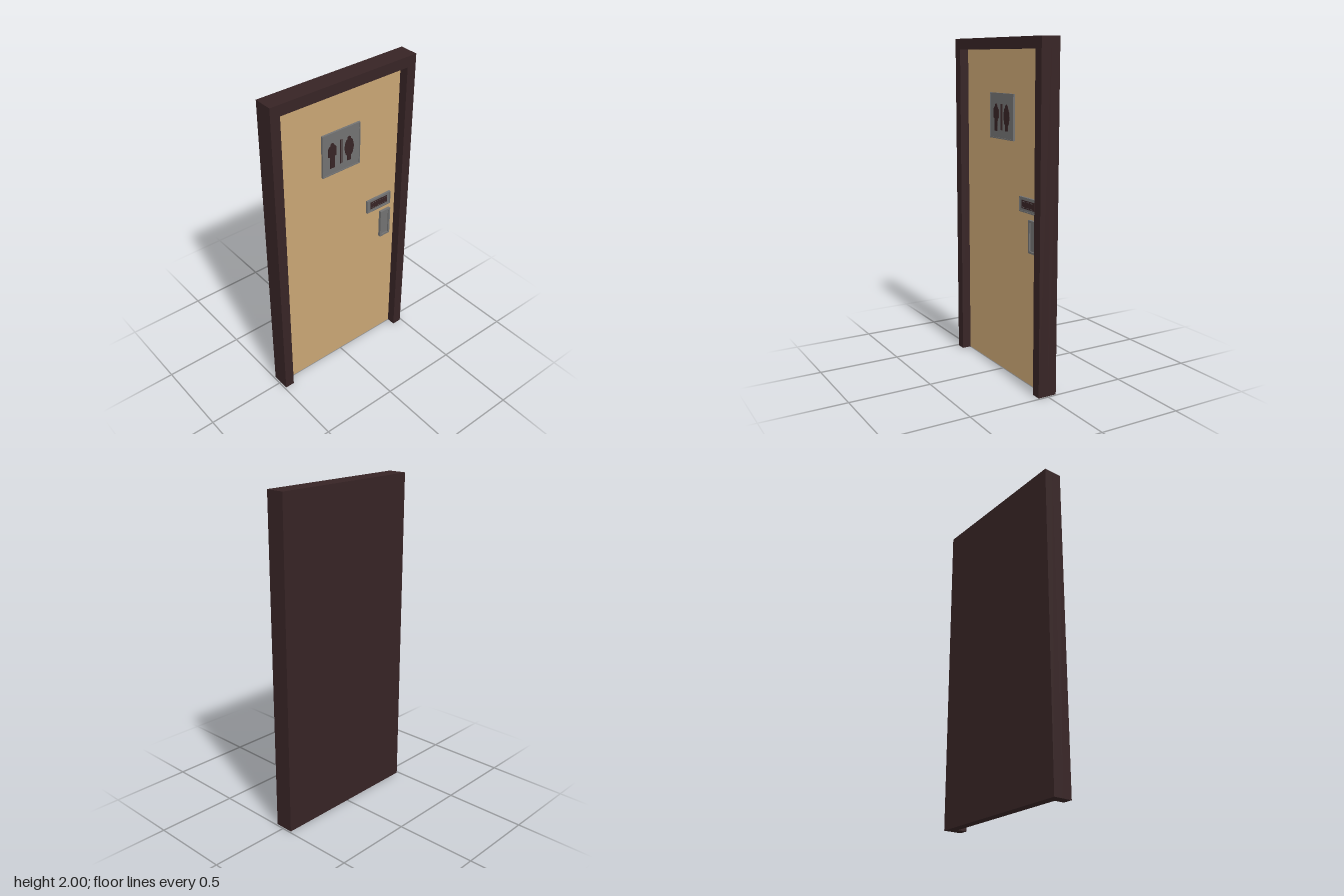
import * as THREE from 'three';

const frameMat = new THREE.MeshStandardMaterial({ name: 'darkBrown', color: 0x372425 });
const doorMat = new THREE.MeshStandardMaterial({ name: 'tanWood', color: 0xc9a574 });
const metalMat = new THREE.MeshStandardMaterial({ name: 'greyMetal', color: 0x727272 });

export function createModel() {
  const model = new THREE.Group();
  // Built facing +z in this group, then turned so the door faces +x.
  const door = new THREE.Group();
  door.name = 'doorAssembly';
  door.rotation.y = Math.PI / 2;
  model.add(door);

  const add = (name, geometry, material, z = 0) => {
    const mesh = new THREE.Mesh(geometry, material);
    mesh.name = name;
    mesh.position.z += z;
    door.add(mesh);
    return mesh;
  };
  // Box given by its extents.
  const box = (name, x0, x1, y0, y1, z0, z1, material) => {
    const g = new THREE.BoxGeometry(x1 - x0, y1 - y0, z1 - z0);
    g.translate((x0 + x1) / 2, (y0 + y1) / 2, (z0 + z1) / 2);
    return add(name, g, material);
  };
  const flat = (name, points, z) => {
    const shape = new THREE.Shape(points.map(([x, y]) => new THREE.Vector2(x, y)));
    return add(name, new THREE.ExtrudeGeometry(shape, { depth: 0.003, bevelEnabled: false }), frameMat, z);
  };
  // Plate with a raised rim around a recessed panel.
  const rimmedPlate = (name, x0, x1, y0, y1, rim, base, top) => {
    box(name + 'Panel', x0 + rim, x1 - rim, y0 + rim, y1 - rim, 0, base, metalMat);
    const s = new THREE.Shape([[x0, y0], [x1, y0], [x1, y1], [x0, y1]].map(p => new THREE.Vector2(...p)));
    s.holes.push(new THREE.Path([[x0 + rim, y0 + rim], [x0 + rim, y1 - rim], [x1 - rim, y1 - rim], [x1 - rim, y0 + rim]].map(p => new THREE.Vector2(...p))));
    add(name + 'Rim', new THREE.ExtrudeGeometry(s, { depth: top, bevelEnabled: false }), metalMat);
  };

  // Frame and solid back
  const W = 0.49, D = 0.058, inner = 0.43, head = 1.935;
  box('backSlab', -W, W, 0, 2, -D, -0.003, frameMat);
  box('jambA', -W, -inner, 0, 2, -0.003, D, frameMat);
  box('jambB', inner, W, 0, 2, -0.003, D, frameMat);
  box('lintel', -inner, inner, head, 2, -0.003, D, frameMat);
  box('doorPanel', -inner, inner, 0.002, head, -0.003, 0.002, doorMat);

  // Sign plate with two figures and a divider
  rimmedPlate('sign', -0.134, 0.134, 1.418, 1.685, 0.006, 0.011, 0.015);
  const mirrored = (cx, half) => [
    ...half.map(([x, y]) => [cx + x, y]),
    ...half.slice().reverse().map(([x, y]) => [cx - x, y]),
  ];
  flat('figureOne', mirrored(-0.065, [
    [0.002, 1.462], [0.015, 1.462], [0.017, 1.54], [0.022, 1.535],
    [0.029, 1.54], [0.029, 1.59], [0.02, 1.602], [0.008, 1.606],
  ]), 0.011);
  flat('figureTwo', mirrored(0.055, [
    [0.002, 1.468], [0.012, 1.468], [0.014, 1.5], [0.024, 1.51],
    [0.034, 1.552], [0.026, 1.59], [0.018, 1.602], [0.008, 1.606],
  ]), 0.011);
  for (const [i, cx] of [-0.065, 0.055].entries()) {
    const g = new THREE.CylinderGeometry(0.013, 0.013, 0.003, 16);
    g.rotateX(Math.PI / 2);
    g.translate(cx, 1.609, 0.0125);
    add('figureHead' + (i + 1), g, frameMat);
  }
  for (const x of [-0.008, 0.002]) {
    box('signDivider', x - 0.002, x + 0.002, 1.47, 1.622, 0.011, 0.014, frameMat);
  }

  // Lock indicator with a dotted dark window
  rimmedPlate('indicator', 0.2, 0.385, 1.025, 1.112, 0.007, 0.012, 0.016);
  box('indicatorWindow', 0.228, 0.358, 1.046, 1.094, 0.012, 0.015, frameMat);
  for (let i = 0; i < 9; i++) {
    for (const y of [1.053, 1.087]) {
      const x = 0.237 + i * 0.014;
      box('indicatorDot', x - 0.002, x + 0.002, y - 0.002, y + 0.002, 0.015, 0.016, metalMat);
    }
  }

  // Recessed pull handle
  rimmedPlate('handle', 0.308, 0.385, 0.8, 0.99, 0.012, 0.012, 0.02);

  return model;
}
